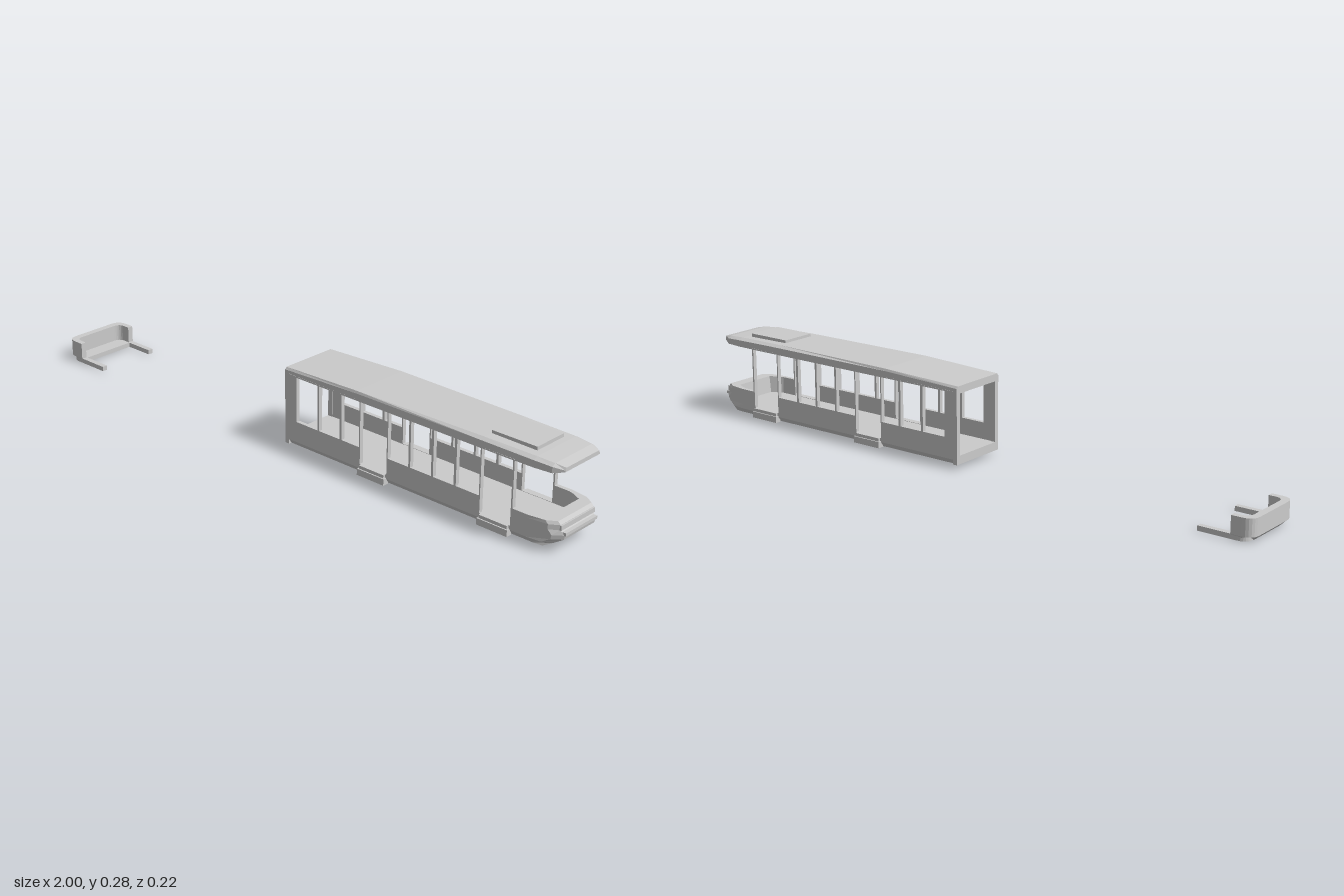
import * as THREE from 'three';

const mat = new THREE.MeshStandardMaterial({ color: 0xcccccc, flatShading: true, side: THREE.DoubleSide });
const ZC = 0.003; // the body sits a hair off centre

function add(group, name, geometry, x = 0, y = 0, z = 0) {
  const m = new THREE.Mesh(geometry, mat);
  m.name = name;
  m.position.set(x, y, z);
  group.add(m);
  return m;
}

// box given by its limits
function block(group, name, x0, x1, y0, y1, z0, z1) {
  return add(group, name, new THREE.BoxGeometry(x1 - x0, y1 - y0, z1 - z0),
    (x0 + x1) / 2, (y0 + y1) / 2, (z0 + z1) / 2);
}

// skin through rows of points that all have the same length
function skin(rows, closed = false) {
  const n = rows[0].length, idx = [];
  for (let r = 0; r < rows.length - 1; r++) {
    for (let i = 0; i < (closed ? n : n - 1); i++) {
      const a = r * n + i, b = r * n + (i + 1) % n;
      idx.push(a, b, b + n, a, b + n, a + n);
    }
  }
  const g = new THREE.BufferGeometry();
  g.setAttribute('position', new THREE.Float32BufferAttribute(rows.flat(2), 3));
  g.setIndex(idx);
  g.computeVertexNormals();
  return g;
}

function polygon(points) {
  return new THREE.Shape(points.map(p => new THREE.Vector2(p[0], p[1])));
}

function rect(x0, x1, y0, y1) {
  return polygon([[x0, y0], [x1, y0], [x1, y1], [x0, y1]]);
}

const extrude = (shape, depth) =>
  new THREE.ExtrudeGeometry(shape, { depth, bevelEnabled: false, curveSegments: 6 });

// shape drawn as (z, y), extruded along +x
function extrudeX(shape, length) {
  const g = extrude(shape, length);
  g.rotateY(Math.PI / 2);
  g.scale(1, 1, -1);
  const p = g.attributes.position; // restore the winding after the mirror
  for (let i = 0; i < p.count; i += 3) {
    const a = [p.getX(i), p.getY(i), p.getZ(i)];
    p.setXYZ(i, p.getX(i + 1), p.getY(i + 1), p.getZ(i + 1));
    p.setXYZ(i + 1, ...a);
  }
  g.computeVertexNormals();
  return g;
}

const doors = [[0.297, 0.398], [0.732, 0.836]];
const windows = [[0.046, 0.13], [0.137, 0.217], [0.225, 0.293], [0.402, 0.478],
  [0.485, 0.56], [0.567, 0.64], [0.648, 0.728]];

function carBody() {
  const body = new THREE.Group();
  body.name = 'carBody';
  body.position.z = ZC;

  // floor with the skirt turned in at the bottom
  add(body, 'floor', extrudeX(polygon([[-0.09, 0.015], [0.09, 0.015], [0.1, 0.03],
    [0.1, 0.042], [-0.1, 0.042], [-0.1, 0.03]]), 0.84));

  // side walls with windows and doorways
  const wall = rect(0, 0.841, 0.04, 0.24);
  for (const [a, b] of windows) wall.holes.push(rect(a, b, 0.095, 0.236));
  for (const [a, b] of doors) wall.holes.push(rect(a, b, 0.043, 0.236));
  add(body, 'leftWall', extrude(wall, 0.013), 0, 0, 0.087);
  add(body, 'rightWall', extrude(wall, 0.013), 0, 0, -0.1);

  // open frame at the coupling end
  const frame = rect(-0.1, 0.1, 0.015, 0.25);
  frame.holes.push(rect(-0.085, 0.085, 0.042, 0.233));
  add(body, 'endFrame', extrudeX(frame, 0.015));

  // steps under the doorways
  for (const [a, b] of doors) for (const s of [-1, 1]) {
    const z = s * 0.102;
    block(body, 'doorStep', a, b, 0.013, 0.033, z - 0.01, z + 0.01);
    block(body, 'doorSill', a + 0.004, b - 0.004, 0.033, 0.043, z - 0.006, z + 0.006);
  }

  // roof: x, bottom y, top y, half width, half width of the flat top
  const roof = [
    [0, 0.236, 0.256, 0.099, 0.094], [0.28, 0.236, 0.265, 0.1, 0.097],
    [0.73, 0.236, 0.266, 0.1, 0.088], [0.9, 0.236, 0.264, 0.098, 0.084],
    [0.955, 0.236, 0.261, 0.092, 0.08], [0.985, 0.243, 0.255, 0.076, 0.072]];
  const rows = roof.map(([x, b, t, w, f]) => [[x, b, -w], [x, t - 0.007, -w],
    [x, t, -f], [x, t, f], [x, t - 0.007, w], [x, b, w]]);
  const tip = ([x, b, t]) => Array(6).fill([x, (b + t) / 2, 0]);
  add(body, 'roof', skin([tip(roof[0]), ...rows, tip(roof[5])], true));
  add(body, 'roofHatch', extrude(rect(0.73, 0.88, -0.059, 0.057), 0.012), 0, 0.275, 0)
    .rotation.x = Math.PI / 2;

  // nose tub: y, tip x, side, corner and front half widths
  const levels = [
    [0.015, 0.935, 0.09, 0.09, 0.086], [0.03, 0.963, 0.1, 0.095, 0.078],
    [0.045, 0.989, 0.1, 0.09, 0.068], [0.058, 0.992, 0.1, 0.09, 0.068],
    [0.072, 0.98, 0.1, 0.092, 0.074], [0.087, 0.98, 0.1, 0.092, 0.074],
    [0.096, 0.972, 0.1, 0.092, 0.074],
    [0.096, 0.935, 0.087, 0.082, 0.068], [0.042, 0.93, 0.087, 0.082, 0.068]];
  const outline = ([y, x, w, c, f]) => {
    const half = [[0.837, y, w], [0.89, y, w], [x - 0.028, y, c], [x, y, f]];
    return [...half, ...half.map(p => [p[0], p[1], -p[2]]).reverse()];
  };
  const flat = row => row.map(p => [p[0], p[1], 0]);
  const tub = levels.map(outline);
  add(body, 'noseTub', skin([flat(tub[0]), ...tub, flat(tub[8])]));
  block(body, 'frontBumper', 0.965, 0.996, 0.058, 0.067, -0.07, 0.07);
  block(body, 'frontLightBar', 0.965, 0.984, 0.072, 0.086, -0.075, 0.075);
  return body;
}

// U-shaped plan with rounded front corners; dims as x0 front, x1 ends
function uPlan(x0, x1, w, r, inX, inW, inR) {
  const s = new THREE.Shape();
  s.moveTo(x1, -w);
  s.lineTo(x1, -inW);
  s.lineTo(inX + inR, -inW);
  s.quadraticCurveTo(inX, -inW, inX, -inW + inR);
  s.lineTo(inX, inW - inR);
  s.quadraticCurveTo(inX, inW, inX + inR, inW);
  s.lineTo(x1, inW);
  s.lineTo(x1, w);
  s.lineTo(x0 + r, w);
  s.quadraticCurveTo(x0, w, x0, w - r);
  s.lineTo(x0, -w + r);
  s.quadraticCurveTo(x0, -w, x0 + r, -w);
  return s;
}

function bufferUnit() {
  const unit = new THREE.Group();
  unit.name = 'separateBumper';
  unit.position.z = 0.002;
  const lying = (name, shape, y0, y1) => {
    add(unit, name, extrude(shape, y1 - y0), 0, y1, 0).rotation.x = Math.PI / 2;
  };
  lying('bumperWall', uPlan(-1, -0.932, 0.11, 0.035, -0.978, 0.092, 0.025), 0.017, 0.07);
  lying('bumperBase', uPlan(-0.982, -0.83, 0.108, 0.03, -0.928, 0.091, 0.004), 0.002, 0.017);
  // sloping underside below the wall
  const r = 0.03;
  const edge = (x, y, w) => [[-0.935, y, w], [x + r, y, w], [x, y, w - r],
    [x, y, r - w], [x + r, y, -w], [-0.935, y, -w]];
  add(unit, 'bumperChin', skin([edge(-0.982, 0, 0.1), edge(-1, 0.018, 0.11)]));
  return unit;
}

export function createModel() {
  const model = new THREE.Group();
  model.name = 'tramCar';
  model.add(carBody(), bufferUnit());
  return model;
}
